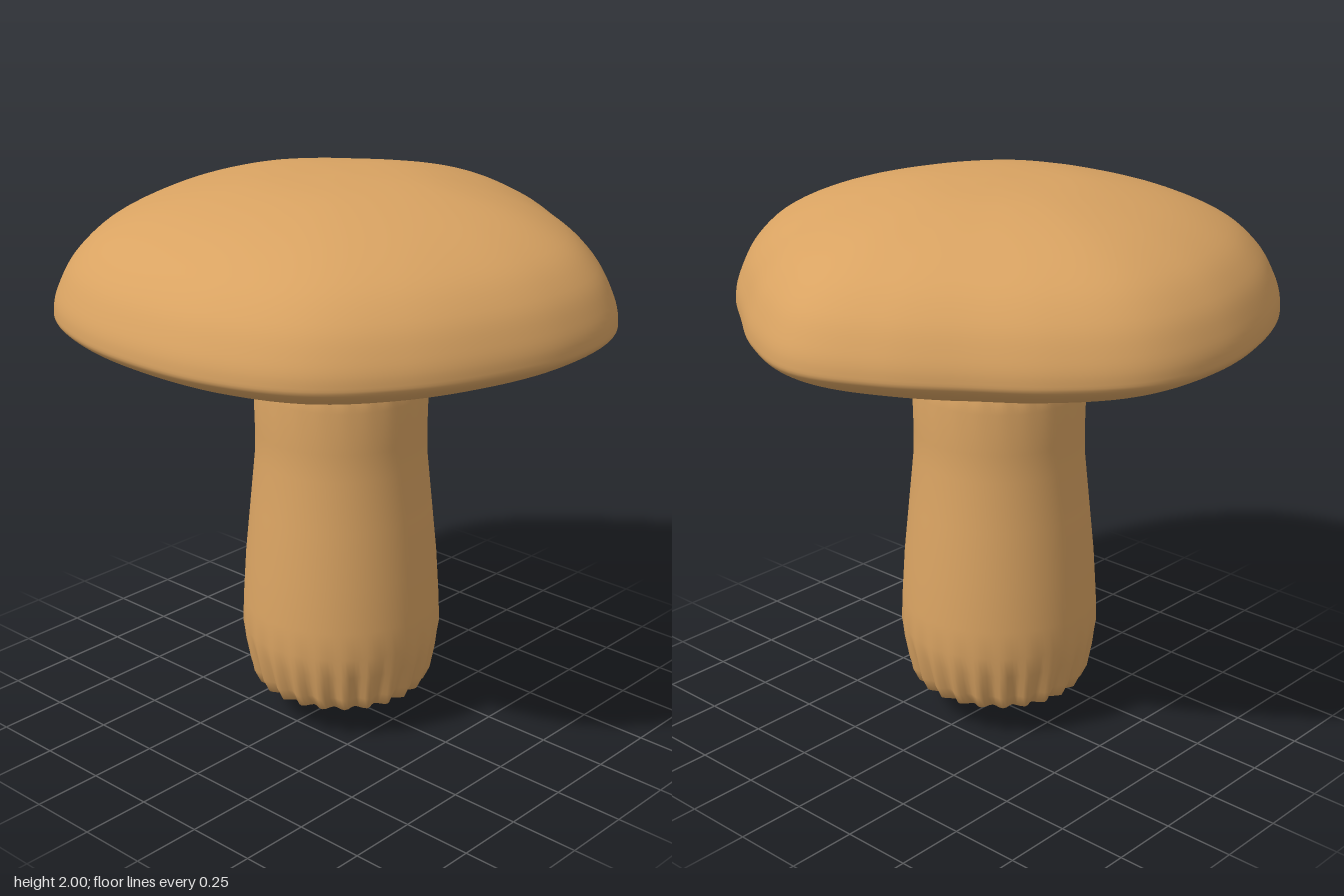
import * as THREE from 'three';

const SEG = 144;

// Skin a closed surface from rings listed top to bottom; point(ring, angle) gives each vertex.
// The first and last rings collapse to single pole points.
function loft(rings, point) {
  const pos = [], idx = [], last = rings.length - 1;
  const start = [];
  rings.forEach((ring, i) => {
    start.push(pos.length / 3);
    const n = i === 0 || i === last ? 1 : SEG;
    for (let j = 0; j < n; j++) pos.push(...point(ring, (j / SEG) * Math.PI * 2));
  });
  for (let i = 0; i < last; i++) {
    for (let j = 0; j < SEG; j++) {
      const k = (j + 1) % SEG;
      const a = start[i] + (i ? j : 0), b = start[i] + (i ? k : 0);
      const end = i + 1 === last;
      const c = start[i + 1] + (end ? 0 : j), d = start[i + 1] + (end ? 0 : k);
      if (!end) idx.push(a, c, d);
      if (i) idx.push(a, end ? c : d, b);
    }
  }
  const g = new THREE.BufferGeometry();
  g.setAttribute('position', new THREE.Float32BufferAttribute(pos, 3));
  g.setIndex(idx);
  g.computeVertexNormals();
  return g;
}

// Rounded five-sided outline of the cap: radius every 18 degrees from back to front, mirrored
const half = [0.965, 0.915, 0.882, 0.92, 0.972, 0.966, 0.953, 0.967, 0.99, 0.972, 0.957];
const outline = new THREE.CatmullRomCurve3(
  [...half, ...half.slice(1, -1).reverse()].map((r) => new THREE.Vector3(r, 0, 0)),
  true, 'catmullrom', 0.5
);
const capRadius = (a) => outline.getPoint(((a + Math.PI) / (Math.PI * 2)) % 1).x / 0.965;

function smoothProfile(points, n) {
  return new THREE.SplineCurve(points.map((p) => new THREE.Vector2(...p))).getPoints(n);
}

export function createModel() {
  const model = new THREE.Group();
  const tan = new THREE.MeshStandardMaterial({ color: 0xd9a362 });
  tan.name = 'mushroom tan';

  // Cap: dome, rounded rim, pleated underside and a socket for the stem
  const capRings = [
    ...smoothProfile([
      [0, 2], [0.3, 1.985], [0.58, 1.925], [0.78, 1.84], [0.89, 1.745],
      [0.945, 1.65], [0.965, 1.58], [0.952, 1.535], [0.85, 1.48],
      [0.68, 1.43], [0.52, 1.41], [0.4, 1.412], [0.355, 1.43],
    ], 60),
    new THREE.Vector2(0.335, 1.48), new THREE.Vector2(0.32, 1.62), new THREE.Vector2(0, 1.64),
  ];
  const capGeometry = loft(capRings, (p, a) => {
    const spread = THREE.MathUtils.smoothstep(p.x, 0.3, 0.9);
    const under = p.y < 1.5 ? 1 - THREE.MathUtils.smoothstep(p.x, 0.4, 0.85) : 0;
    const s = p.x * THREE.MathUtils.lerp(p.y > 1.65 ? capRadius(a) : 1, capRadius(a), spread);
    const pleat = 0.006 * under * Math.cos(18 * a);
    return [s * Math.sin(a), p.y + pleat, s * Math.cos(a)];
  });
  const cap = new THREE.Mesh(capGeometry, tan);
  cap.name = 'cap';
  model.add(cap);

  // Stem: [radius, height, flute depth], fluted at the foot and ending in a shallow point
  const stemRings = [
    [0, 1.5, 0], [0.14, 1.45, 0], [0.2, 1.425, 0.006], [0.272, 1.37, 0.006], [0.295, 1.31, 0.002],
    [0.308, 1.25, 0], [0.305, 1.1, 0], [0.307, 1.0, 0], [0.325, 0.82, 0], [0.345, 0.62, 0],
    [0.356, 0.45, 0], [0.36, 0.35, 0], [0.345, 0.27, 0.006], [0.321, 0.175, 0.012],
    [0.295, 0.125, 0.014], [0.15, 0.06, 0.003], [0, 0, 0],
  ];
  const stemGeometry = loft(stemRings, ([r, y, flute], a) => {
    const s = r + flute * Math.cos(24 * a);
    const shift = Math.min(1, r / 0.25);
    return [s * Math.sin(a) + 0.009 * shift, y, s * Math.cos(a) + 0.02 * shift];
  });
  const stem = new THREE.Mesh(stemGeometry, tan);
  stem.name = 'stem';
  model.add(stem);

  return model;
}
